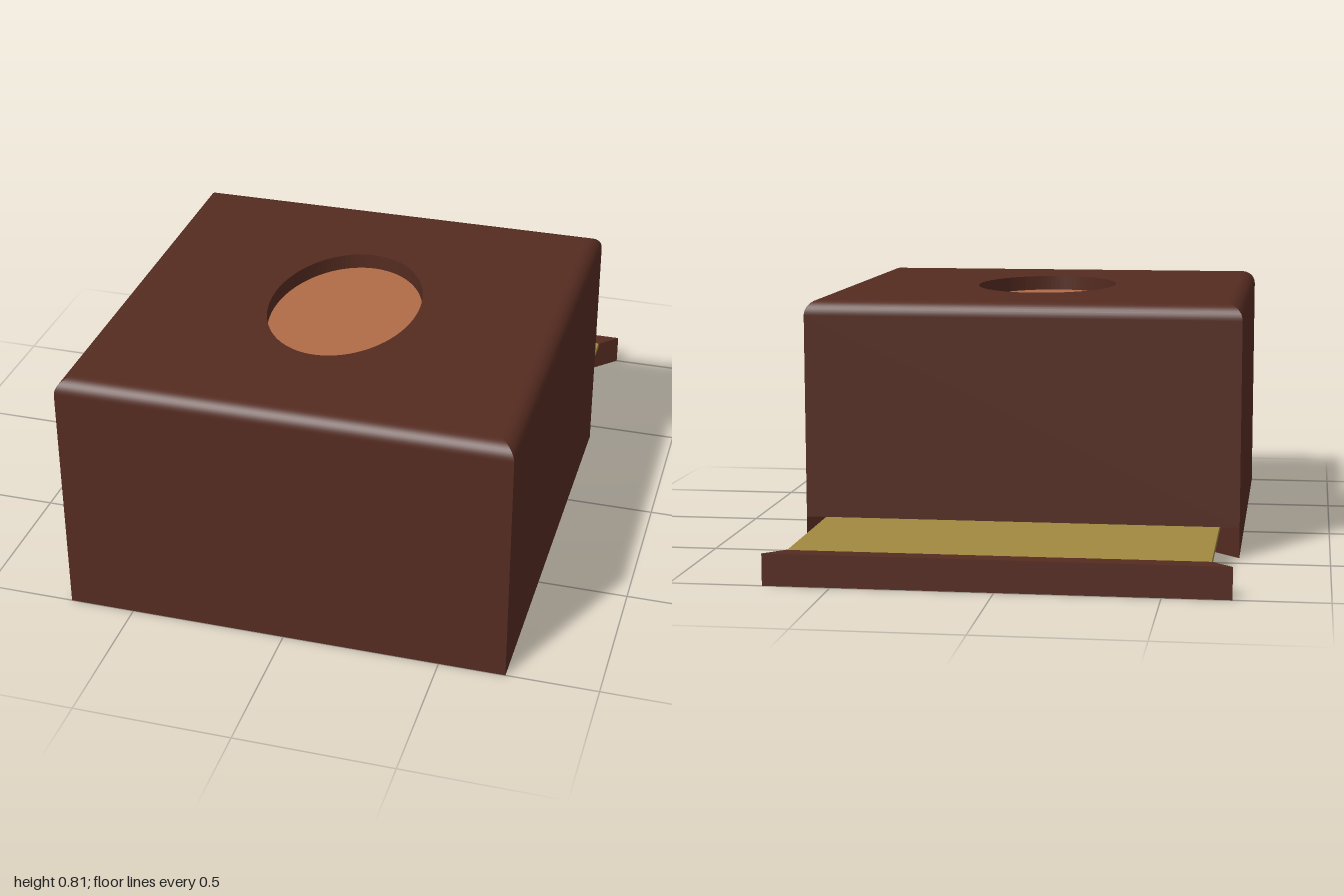
import * as THREE from 'three';

const W = 0.71, BACK = -0.425, FRONT = 1, TOP = 0.815;
const WALL = 0.1, ROUND = 0.05, LIP = 0.08, SLOT = 0.1, MID = (BACK + FRONT) / 2;

const mat = (name, color) => {
  const m = new THREE.MeshStandardMaterial({ color });
  m.name = name;
  return m;
};

// counter-clockwise plan shape from [x, z] points
const plan = pts => new THREE.Shape(pts.map(([x, z]) => new THREE.Vector2(x, -z)).reverse());
const rect = inset => [
  [-W + inset, BACK + inset], [W - inset, BACK + inset],
  [W - inset, FRONT - inset], [-W + inset, FRONT - inset]];

function addOval(shape) {
  const hole = new THREE.Path();
  hole.absellipse(0, -0.285, 0.24, 0.35, 0, Math.PI * 2, true);
  shape.holes.push(hole);
  return shape;
}

function ring(outer, inner) {
  const s = plan(rect(outer));
  s.holes.push(plan(rect(inner)));
  return s;
}

// three-sided frame, open and mitred at the back
function frame(t) {
  return plan([
    [W, BACK], [W, FRONT], [-W, FRONT], [-W, BACK],
    [-W + t, BACK + t], [-W + t, FRONT - t], [W - t, FRONT - t], [W - t, BACK + t]]);
}

// mitred bar that closes the open end of the frame
const bar = t => plan([[-W, -1], [W, -1], [W - t, -1 + t], [-W + t, -1 + t]]);

// rounded upper edge, one mitred strip per side
function roundedEdge() {
  const pos = [], nor = [], idx = [], N = 10;
  const corners = rect(0).map(([x, z]) => [x, z, Math.sign(x), z > MID ? 1 : -1]);
  const normals = [[0, -1], [1, 0], [0, 1], [-1, 0]];
  for (let s = 0; s < 4; s++) {
    const base = pos.length / 3;
    for (let i = 0; i <= N; i++) {
      const a = (i / N) * Math.PI / 2, c = Math.cos(a), d = ROUND * (1 - c);
      for (const [x, z, sx, sz] of [corners[s], corners[(s + 1) % 4]]) {
        pos.push(x - sx * d, TOP - ROUND + ROUND * Math.sin(a), z - sz * d);
        nor.push(normals[s][0] * c, Math.sin(a), normals[s][1] * c);
      }
      if (i < N) {
        const k = base + i * 2;
        idx.push(k, k + 2, k + 1, k + 1, k + 2, k + 3);
      }
    }
  }
  const g = new THREE.BufferGeometry();
  g.setAttribute('position', new THREE.Float32BufferAttribute(pos, 3));
  g.setAttribute('normal', new THREE.Float32BufferAttribute(nor, 3));
  g.setIndex(idx);
  return g;
}

export function createModel() {
  const brown = mat('dark brown wood', 0x542b20);
  const lining = mat('light inner wood', 0xc87a50);
  const olive = mat('olive panel', 0xa08940);
  const model = new THREE.Group();
  model.name = 'tissueBox';
  const box = new THREE.Group();
  box.name = 'box';
  const drawer = new THREE.Group();
  drawer.name = 'slidingBase';
  model.add(box, drawer);

  const add = (parent, name, geometry, material) => {
    const m = new THREE.Mesh(geometry, material);
    m.name = name;
    parent.add(m);
  };
  const slab = (shape, y0, y1) => new THREE.ExtrudeGeometry(shape,
    { depth: y1 - y0, bevelEnabled: false, curveSegments: 48 })
    .rotateX(-Math.PI / 2).translate(0, y0, 0);

  // base lip, groove for the panel, and walls
  add(box, 'baseLip', slab(frame(WALL), 0, LIP), brown);
  add(box, 'panelGroove', slab(frame(0.062), LIP, SLOT), brown);
  add(box, 'walls', slab(ring(0, WALL), SLOT, TOP - ROUND), brown);

  // top with oval opening and rounded edge
  add(box, 'top', slab(addOval(plan(rect(ROUND))), TOP - ROUND, TOP), brown);
  add(box, 'roundedTopEdge', roundedEdge(), brown);

  // inner lining of walls, and of the ceiling facing down
  add(box, 'wallLining', slab(ring(WALL, WALL + 0.003), SLOT, TOP - ROUND), lining);
  const ceiling = new THREE.ShapeGeometry(addOval(plan(rect(WALL))), 48)
    .rotateX(-Math.PI / 2).rotateZ(Math.PI).translate(0, TOP - ROUND - 0.002, 0);
  add(box, 'ceilingLining', ceiling, lining);

  // sliding panel with its end bar
  add(drawer, 'panel', new THREE.BoxGeometry(1.29, SLOT - LIP, 1.295)
    .translate(0, (LIP + SLOT) / 2, -0.2925), olive);
  add(drawer, 'endBarLower', slab(bar(WALL), 0, LIP), brown);
  add(drawer, 'endBarUpper', slab(bar(0.062), LIP, SLOT), brown);
  return model;
}
